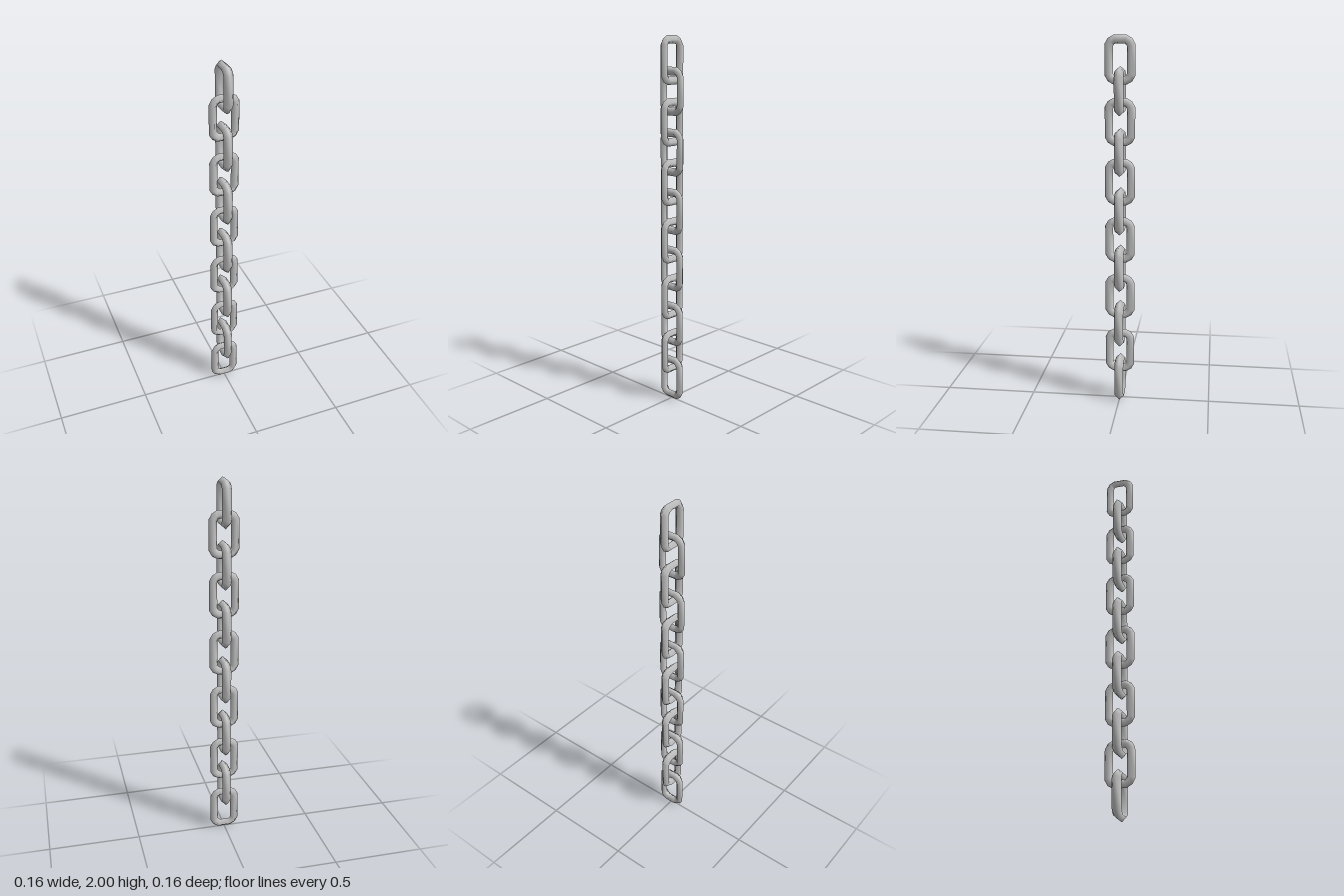
import * as THREE from 'three';

const LINKS = 12, LENGTH = 0.25;
const PITCH = (2 - LENGTH) / (LINKS - 1);

// One link: a ring of diamond-section bar, pulled apart into a rounded rectangle
function linkGeometry() {
  const ring = 0.0415, bar = 0.0225, segments = 12;
  const geo = new THREE.TorusGeometry(ring, bar, 4, segments);
  geo.rotateZ(Math.PI / segments);
  const reach = (ring + bar) * Math.cos(Math.PI / segments);
  const dx = 0.08 - reach, dy = LENGTH / 2 - reach;
  const p = geo.attributes.position;
  for (let i = 0; i < p.count; i++) {
    const x = p.getX(i), y = p.getY(i);
    p.setXYZ(i, x + Math.sign(x) * dx, y + Math.sign(y) * dy, p.getZ(i) * 1.11);
  }
  return geo;
}

export function createModel() {
  const chain = new THREE.Group();
  chain.name = 'chain';
  const geo = linkGeometry();
  const mat = new THREE.MeshStandardMaterial({ color: 0xcccccc });
  // Links hang in a row, every second one turned a quarter
  for (let i = 0; i < LINKS; i++) {
    const link = new THREE.Mesh(geo, mat);
    link.name = 'link' + (i + 1);
    link.position.y = LENGTH / 2 + i * PITCH;
    link.rotation.y = (i % 2) * Math.PI / 2;
    chain.add(link);
  }
  return chain;
}
